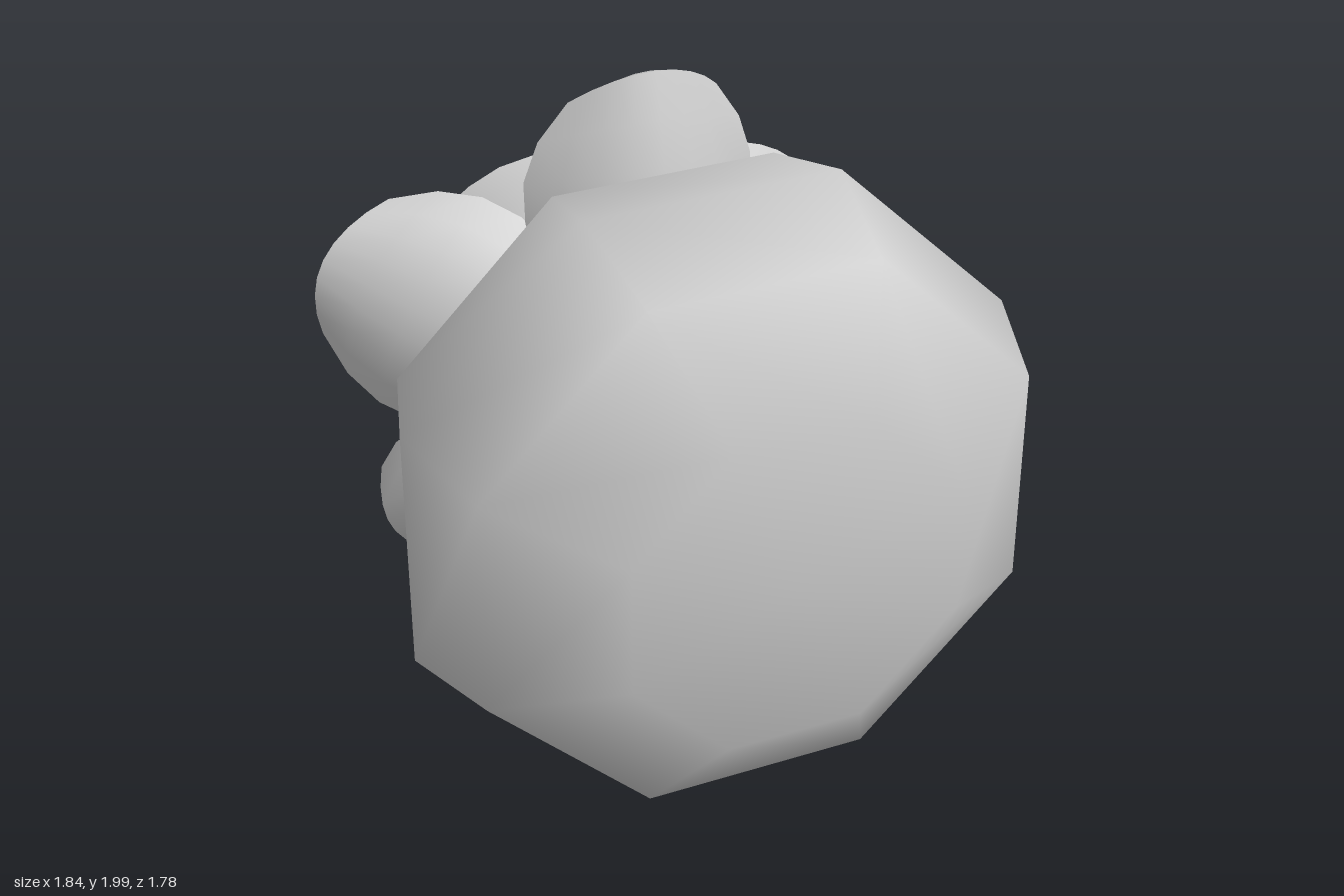
import * as THREE from 'three';
import { mergeGeometries, toCreasedNormals } from 'three/addons/utils/BufferGeometryUtils.js';

const CX = -0.05, CY = 0.98; // axis of the flower
const V = (x, y, z) => new THREE.Vector3(x, y, z);

// Thick curved sheet from a surface rule f(u, v), u in -1..1 and v in 0..1
function sheet(f, thickness, nu = 8, nv = 7) {
  const pts = [], index = [], row = nu + 1;
  for (let j = 0; j <= nv; j++)
    for (let i = 0; i <= nu; i++) pts.push(f((i / nu) * 2 - 1, j / nv));
  for (let j = 0; j < nv; j++)
    for (let i = 0; i < nu; i++) {
      const a = j * row + i, b = a + 1, c = a + row, d = c + 1;
      index.push(a, b, d, a, d, c);
    }
  const mid = new THREE.BufferGeometry().setFromPoints(pts);
  mid.setIndex(index);
  mid.computeVertexNormals();
  const n = mid.attributes.normal;
  const offset = (s) => pts.map((p, k) => p.clone().addScaledVector(V(n.getX(k), n.getY(k), n.getZ(k)), s * thickness / 2));
  // Outline of the grid, in order, for the side walls
  const rim = [];
  for (let i = 0; i < nu; i++) rim.push(i);
  for (let j = 0; j < nv; j++) rim.push(j * row + nu);
  for (let i = nu; i > 0; i--) rim.push(nv * row + i);
  for (let j = nv; j > 0; j--) rim.push(j * row);
  const all = [...index], N = pts.length;
  for (let k = 0; k < index.length; k += 3) all.push(index[k] + N, index[k + 2] + N, index[k + 1] + N);
  rim.forEach((a, k) => {
    const b = rim[(k + 1) % rim.length];
    all.push(a, a + N, b + N, a, b + N, b);
  });
  const g = new THREE.BufferGeometry().setFromPoints([...offset(1), ...offset(-1)]);
  g.setIndex(all);
  return toCreasedNormals(g, 0.9);
}

// Spreading petal from the flower base to a tip point
function spreadPetal(tip, width, cup, sag) {
  const radial = V(tip.x - CX, tip.y - CY, 0).normalize();
  const base = V(CX, CY, -0.1).addScaledVector(radial, 0.08);
  const along = tip.clone().sub(base);
  const side = V(-radial.y, radial.x, 0);
  const up = new THREE.Vector3().crossVectors(side, along).normalize();
  if (up.z > 0) up.negate();
  return sheet((u, v) => {
    const w = width * (0.22 + 0.78 * Math.sin(Math.PI * Math.pow(v, 1.2) * 0.84) ** 0.9);
    const t = v * (1 - 0.1 * u * u * v);
    return base.clone().addScaledVector(along, t)
      .addScaledVector(side, u * w)
      .addScaledVector(up, cup * u * u * Math.sin(Math.PI * v * 0.85) - sag * Math.sin(Math.PI * v));
  }, 0.035);
}

// Upright petal wrapped around the flower axis, spiralling inward along u
function cupPetal(angle, half, radius, z0, z1, curl, twist) {
  return sheet((u, v) => {
    const a = angle + u * half * (0.65 + 0.35 * Math.sin(Math.PI * Math.min(v * 1.2, 0.85)));
    const h = v * (1 - 0.14 * Math.abs(u) ** 3 * v);
    const swell = 0.25 + 0.75 * Math.sin(Math.min(1, h * 1.9) * Math.PI / 2);
    const r = radius * swell * (1 + twist * u) + curl * h ** 4;
    return V(CX + r * Math.cos(a), CY + r * Math.sin(a), z0 + (z1 - z0) * h);
  }, 0.025);
}

export function createModel() {
  const model = new THREE.Group();
  const mat = new THREE.MeshStandardMaterial({ color: 0xcccccc });
  const thin = new THREE.MeshStandardMaterial({ color: 0xcccccc, side: THREE.DoubleSide });
  const add = (name, geo, m = mat) => {
    const mesh = new THREE.Mesh(geo, m);
    mesh.name = name;
    model.add(mesh);
    return mesh;
  };

  // Eight-sided rounded pot, its axis along z
  const k = 1 / Math.cos(Math.PI / 8);
  const profile = [[0.79, -0.015], [0.89, 0.32], [0.795, 0.65], [0.475, 0.89], [0, 0.89]]
    .map(([r, z]) => new THREE.Vector2(r * k, z));
  const pot = new THREE.LatheGeometry(profile, 8, Math.PI / 8);
  pot.rotateX(Math.PI / 2);
  add('pot', pot).position.set(-0.05, 0.995, 0);
  const top = new THREE.CircleGeometry(0.79 * k, 8, Math.PI / 8);
  top.rotateY(Math.PI);
  add('potTop', top).position.set(-0.05, 0.995, -0.015);

  // Short stem
  const stem = new THREE.CylinderGeometry(0.12, 0.13, 0.22, 8);
  stem.rotateX(-Math.PI / 2);
  add('stem', stem).position.set(-0.07, 0.97, -0.12);

  // Ring of spreading petals: tip, half width, cup, sag
  [
    [V(0.01, 1.99, -0.23), 0.34, 0.2, 0.08],
    [V(-0.89, 1.46, -0.49), 0.34, 0.14, 0.08],
    [V(-0.76, 0.56, -0.4), 0.3, 0.12, 0.1],
    [V(-0.04, 0.02, -0.43), 0.31, 0.12, 0.08],
    [V(0.88, 0.65, -0.25), 0.34, 0.14, 0.06],
    [V(0.61, 1.41, -0.55), 0.33, 0.12, 0.06],
  ].forEach((p, i) => add('spreadPetal' + (i + 1), spreadPetal(...p), thin));

  // Layers of upright petals: count, start, half angle, radius, base z, rim z, curl, twist
  [
    [4, 0.6, 1.0, 0.5, -0.16, -0.82, 0.03, 0.05],
    [4, 1.3, 0.95, 0.43, -0.2, -0.89, -0.05, 0.07],
    [3, 0.3, 1.2, 0.32, -0.25, -0.87, -0.03, 0.12],
    [3, 1.2, 1.15, 0.21, -0.3, -0.85, -0.02, 0.16],
    [2, 0.5, 1.5, 0.11, -0.35, -0.83, -0.01, 0.25],
  ].forEach(([count, start, half, radius, z0, z1, curl, twist], layer) => {
    const petals = [];
    for (let i = 0; i < count; i++)
      petals.push(cupPetal(start + (i * 2 * Math.PI) / count, half, radius, z0, z1 + 0.02 * (i % 2), curl, twist));
    add('cupPetals' + (layer + 1), mergeGeometries(petals), thin);
  });

  // Rounded base joining the petals to the stem
  const heart = new THREE.SphereGeometry(0.2, 10, 8);
  heart.scale(1, 1, 0.6);
  add('flowerBase', heart).position.set(CX, CY, -0.2);
  return model;
}
